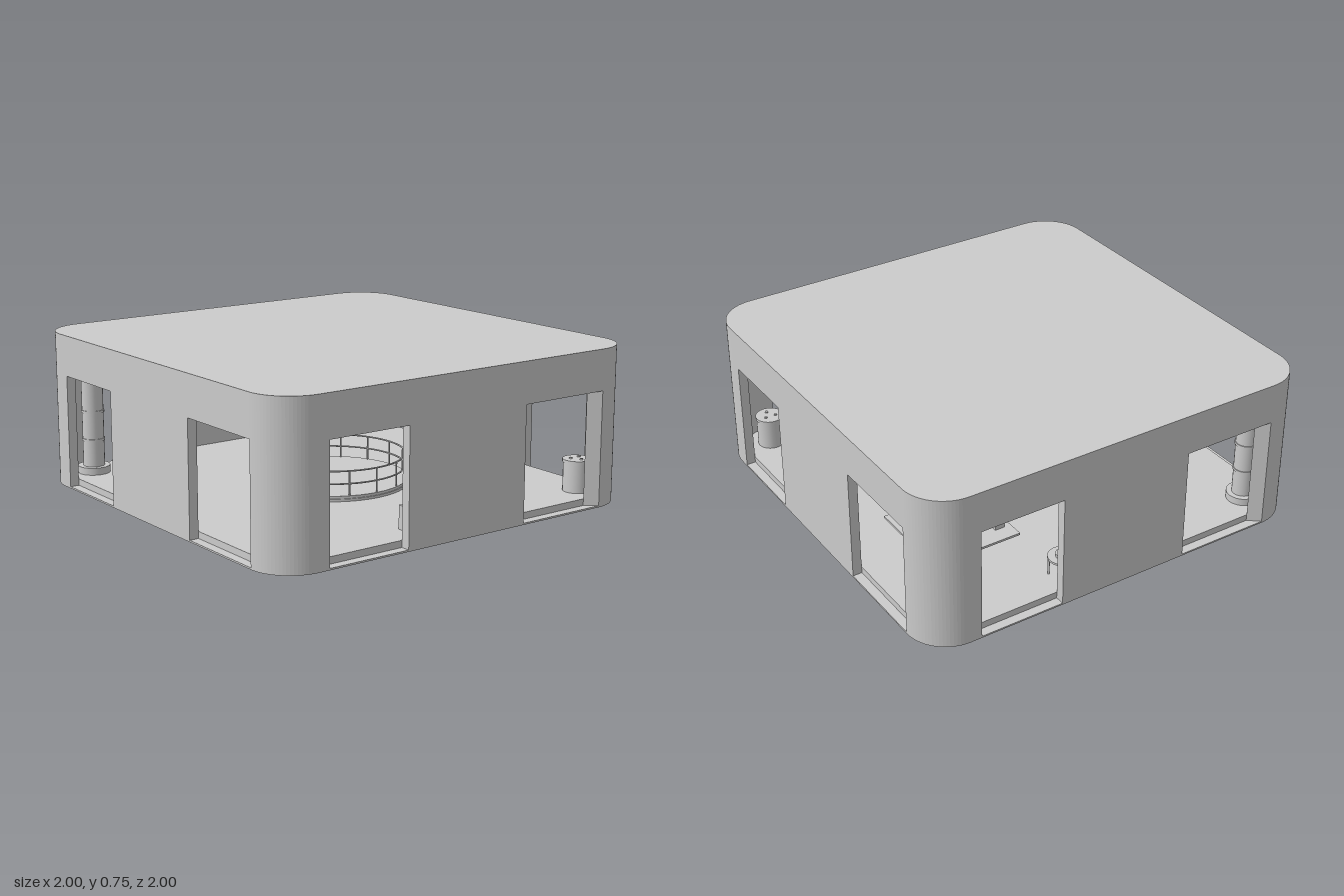
import * as THREE from 'three';

const mat = new THREE.MeshStandardMaterial({ color: 0xcccccc, side: THREE.DoubleSide });
const FLOOR = 0.04, CEILING = 0.55, TOP = 0.745, WALL = 0.045, CORNER = 0.2;

function add(parent, name, geometry, x = 0, y = 0, z = 0) {
  const mesh = new THREE.Mesh(geometry, mat);
  mesh.name = name;
  mesh.position.set(x, y, z);
  parent.add(mesh);
  return mesh;
}

const box = (p, name, w, h, d, x, y, z) => add(p, name, new THREE.BoxGeometry(w, h, d), x, y + h / 2, z);
const drum = (p, name, r, h, x, y, z, n = 24) =>
  add(p, name, new THREE.CylinderGeometry(r, r, h, n), x, y + h / 2, z);

// Extrudes a plan outline upwards from y0 to y1
function slab(shape, y0, y1) {
  const g = new THREE.ExtrudeGeometry(shape, { depth: y1 - y0, bevelEnabled: false, curveSegments: 10 });
  return g.rotateX(-Math.PI / 2).translate(0, y0, 0);
}

function roundedSquare(half, r) {
  const s = new THREE.Shape(), c = half - r;
  s.moveTo(c, -half);
  s.absarc(c, -c, r, -Math.PI / 2, 0);
  s.absarc(c, c, r, 0, Math.PI / 2);
  s.absarc(-c, c, r, Math.PI / 2, Math.PI);
  s.absarc(-c, -c, r, Math.PI, Math.PI * 1.5);
  s.closePath();
  return s;
}

// Plan of one rounded wall corner, ending at the door jambs
function cornerPlan() {
  const s = new THREE.Shape(), c = 1 - CORNER, jamb = 0.745;
  s.moveTo(1, jamb);
  s.absarc(c, c, CORNER, 0, Math.PI / 2);
  s.lineTo(jamb, 1);
  s.lineTo(jamb, 1 - WALL);
  s.absarc(c, c, CORNER - WALL, Math.PI / 2, 0, true);
  s.lineTo(1 - WALL, jamb);
  s.closePath();
  return s;
}

function buildShell() {
  const shell = new THREE.Group();
  shell.name = 'pavilionShell';
  add(shell, 'basePlate', slab(roundedSquare(1, CORNER), 0, 0.008));
  add(shell, 'floor', slab(roundedSquare(1 - WALL, CORNER - WALL), 0.008, FLOOR));
  add(shell, 'roof', slab(roundedSquare(1, CORNER), CEILING, TOP));
  for (let i = 0; i < 4; i++) {
    const side = new THREE.Group();
    side.name = 'wallSide';
    side.rotation.y = i * Math.PI / 2;
    add(side, 'wallCorner', slab(cornerPlan(), 0.008, CEILING));
    box(side, 'wallPanel', 0.66, CEILING - 0.008, WALL, 0, 0.008, 1 - WALL / 2);
    shell.add(side);
  }
  return shell;
}

// Round stage in the middle with a railing
function buildStage() {
  const stage = new THREE.Group();
  stage.name = 'centralStage';
  drum(stage, 'stageStep', 0.375, 0.012, 0, FLOOR, 0, 48);
  drum(stage, 'stageDeck', 0.37, 0.013, 0, FLOOR + 0.012, 0, 48);
  for (const y of [0.12, 0.18]) {
    const rail = add(stage, 'rail', new THREE.TorusGeometry(0.36, 0.004, 6, 48), 0, y, 0);
    rail.rotation.x = Math.PI / 2;
  }
  for (let i = 0; i < 16; i++) {
    const a = i / 16 * Math.PI * 2;
    drum(stage, 'railPost', 0.004, 0.115, 0.36 * Math.cos(a), 0.065, 0.36 * Math.sin(a), 8);
  }
  return stage;
}

// Hanging shelf with small items in the back corner
function buildShelf() {
  const shelf = new THREE.Group();
  shelf.name = 'hangingShelf';
  box(shelf, 'shelfBoard', 0.42, 0.01, 0.42, -0.715, 0.397, -0.715);
  drum(shelf, 'shelfHanger', 0.003, 0.145, -0.545, 0.405, -0.545, 8);
  for (const p of [-0.69, -0.595]) box(shelf, 'lowItem', 0.045, 0.018, 0.045, p, 0.407, -0.83);
  for (const p of [-0.69, -0.56]) box(shelf, 'tallItem', 0.045, 0.035, 0.045, -0.83, 0.407, p);
  return shelf;
}

// Round fittings standing in three corners
function buildCornerFittings() {
  const fittings = new THREE.Group();
  fittings.name = 'cornerFittings';
  const c = 0.825;

  drum(fittings, 'columnBase', 0.078, 0.035, -c, FLOOR, c);
  drum(fittings, 'columnShaft', 0.052, CEILING - 0.075, -c, 0.075, c);
  for (const y of [0.2, 0.34]) drum(fittings, 'columnBand', 0.056, 0.012, -c, y, c);

  drum(fittings, 'drumBody', 0.064, 0.14, c, FLOOR, -c);
  drum(fittings, 'drumLid', 0.068, 0.014, c, 0.18, -c);
  for (let i = 0; i < 3; i++) {
    const a = i * Math.PI * 2 / 3;
    drum(fittings, 'lidKnob', 0.008, 0.006, c + 0.03 * Math.cos(a), 0.194, -c + 0.03 * Math.sin(a), 8);
  }

  drum(fittings, 'tankBase', 0.082, 0.022, c, FLOOR, c);
  drum(fittings, 'tankBody', 0.062, 0.28, c, 0.062, c);
  drum(fittings, 'tankCap', 0.068, 0.018, c, 0.342, c);
  for (const d of [-0.03, 0, 0.03]) drum(fittings, 'tankPipe', 0.005, 0.19, c + d, 0.36, c - d, 8);
  return fittings;
}

// Counter and small table against the side walls
function buildFurniture() {
  const furniture = new THREE.Group();
  furniture.name = 'furniture';
  box(furniture, 'counter', 0.13, 0.11, 0.48, 0.885, FLOOR, 0);
  const x = -0.87, z = -0.24;
  drum(furniture, 'tableTop', 0.07, 0.01, x, 0.14, z);
  drum(furniture, 'tableDish', 0.035, 0.015, x, 0.15, z, 16);
  for (const sx of [-1, 1]) for (const sz of [-1, 1])
    drum(furniture, 'tableLeg', 0.005, 0.1, x + sx * 0.045, FLOOR, z + sz * 0.045, 8);
  return furniture;
}

// Slim light bars under the ceiling
function buildLights() {
  const lights = new THREE.Group();
  lights.name = 'ceilingLights';
  for (const a of [-1, 1]) for (const b of [-1, 1]) {
    box(lights, 'lightBar', 0.37, 0.01, 0.025, a * 0.47, CEILING - 0.01, b * 0.77);
    box(lights, 'lightBar', 0.025, 0.01, 0.35, b * 0.77, CEILING - 0.01, a * 0.375);
  }
  return lights;
}

export function createModel() {
  const model = new THREE.Group();
  model.name = 'pavilion';
  model.add(buildShell(), buildStage(), buildShelf(), buildCornerFittings(), buildFurniture(), buildLights());
  return model;
}
